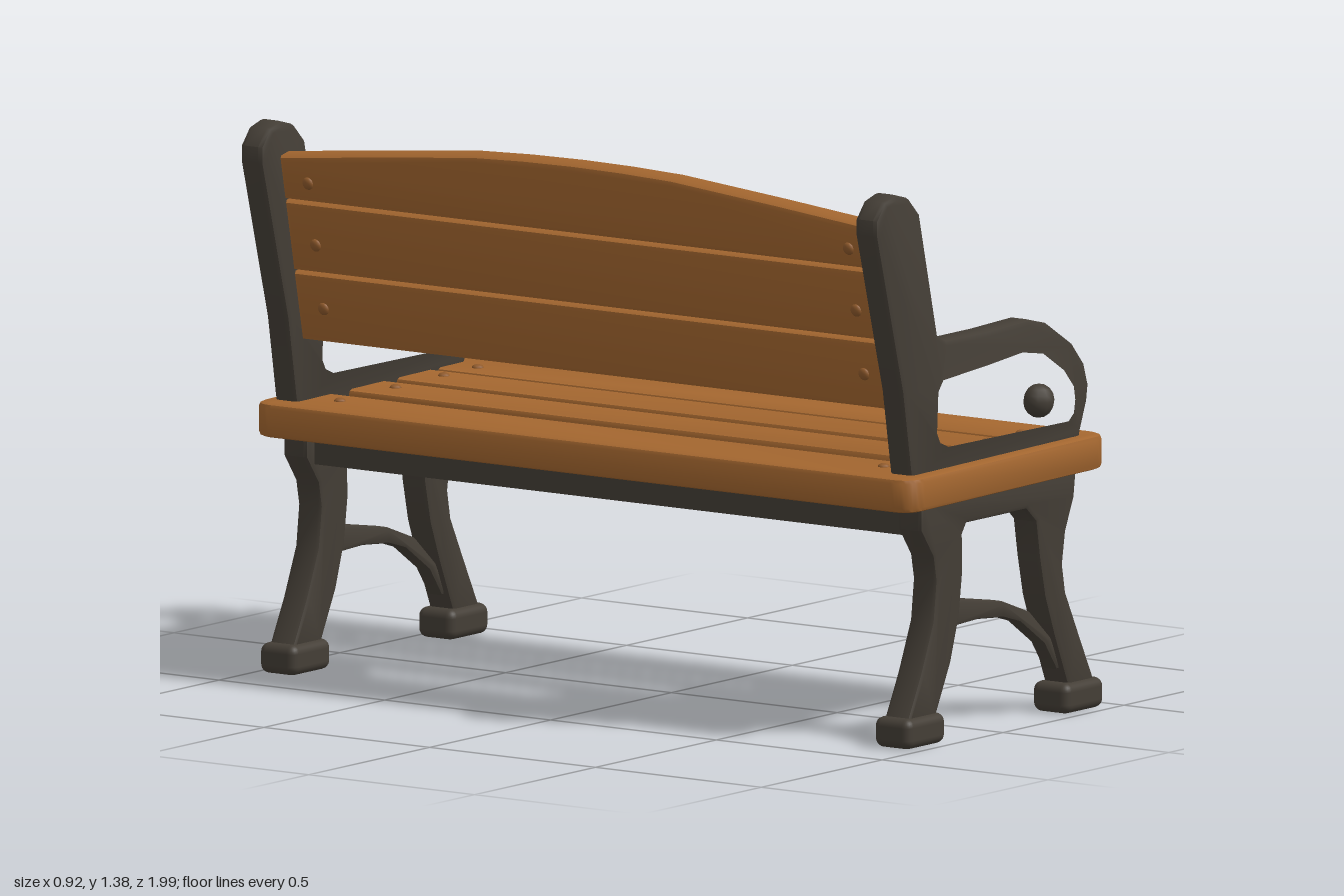
import * as THREE from 'three';
import { toCreasedNormals } from 'three/addons/utils/BufferGeometryUtils.js';
import { RoundedBoxGeometry } from 'three/addons/geometries/RoundedBoxGeometry.js';

const wood = new THREE.MeshStandardMaterial({ color: 0xa3662f });
wood.name = 'wood';
const iron = new THREE.MeshStandardMaterial({ color: 0x443e36 });
iron.name = 'iron';
const boltWood = new THREE.MeshStandardMaterial({ color: 0x8f5a2c });
boltWood.name = 'boltWood';

const toVectors = (points) => points.map(([x, y]) => new THREE.Vector2(x, y));

function mesh(name, geometry, material, x = 0, y = 0, z = 0) {
  const m = new THREE.Mesh(geometry, material);
  m.name = name;
  m.position.set(x, y, z);
  return m;
}

// Bevelled plate centred on its thickness, keeping the given outline as its outer size
function plate(shape, thickness, bevel) {
  const geometry = new THREE.ExtrudeGeometry(shape, {
    depth: thickness - 2 * bevel, bevelEnabled: bevel > 0, bevelSize: bevel,
    bevelThickness: bevel, bevelOffset: -bevel, bevelSegments: 2, curveSegments: 10,
  });
  geometry.translate(0, 0, -(thickness - 2 * bevel) / 2);
  return toCreasedNormals(geometry, 0.7);
}

function rectangle(Type, x0, x1, y0, y1) {
  return new Type(toVectors([[x0, y0], [x1, y0], [x1, y1], [x0, y1]]));
}

function armShape() {
  const shape = new THREE.Shape(toVectors([
    [-0.31, 0.64], [-0.32, 0.69], [-0.352, 0.88], [-0.46, 1.28], [-0.46, 1.32], [-0.425, 1.362],
    [-0.38, 1.375], [-0.325, 1.36], [-0.28, 1.315], [-0.205, 1.005], [-0.17, 0.988],
    [0, 0.988], [0.17, 0.993], [0.25, 0.973], [0.35, 0.912], [0.4, 0.855], [0.418, 0.8],
    [0.412, 0.76], [0.385, 0.69], [0.37, 0.64],
  ]));
  shape.holes.push(new THREE.Path(toVectors([
    [-0.228, 0.76], [-0.222, 0.87], [-0.195, 0.905], [0, 0.918], [0.14, 0.93], [0.23, 0.915],
    [0.32, 0.86], [0.365, 0.81], [0.372, 0.77], [0.365, 0.73], [0.335, 0.706],
    [-0.17, 0.71], [-0.21, 0.727],
  ])));
  return shape;
}

const legShape = () => new THREE.Shape(toVectors([
  [-0.28, 0.61], [-0.28, 0.53], [-0.23, 0.46], [-0.218, 0.4], [-0.23, 0.3], [-0.28, 0.18], [-0.34, 0.06],
  [-0.22, 0.06], [-0.155, 0.19], [-0.12, 0.3], [-0.105, 0.41], [-0.107, 0.5], [-0.09, 0.525],
  [0.155, 0.525], [0.195, 0.49], [0.21, 0.4], [0.232, 0.3], [0.27, 0.2], [0.33, 0.06],
  [0.44, 0.06], [0.37, 0.2], [0.32, 0.3], [0.307, 0.37], [0.32, 0.45], [0.355, 0.53], [0.365, 0.61],
]));

const braceShape = () => new THREE.Shape(toVectors([
  [-0.15, 0.335], [-0.09, 0.337], [0.08, 0.308], [0.19, 0.268], [0.28, 0.19], [0.33, 0.11],
  [0.3, 0.11], [0.25, 0.18], [0.15, 0.247], [0.08, 0.268], [-0.02, 0.277], [-0.15, 0.272],
]));

// Cast end frame: arm and back post, legs, brace, feet and knob
function endFrame(z) {
  const frame = new THREE.Group();
  frame.name = 'endFrame';
  frame.position.z = z;
  frame.add(
    mesh('armAndBackPost', plate(armShape(), 0.07, 0.014), iron),
    mesh('legs', plate(legShape(), 0.075, 0.012), iron),
    mesh('legBrace', plate(braceShape(), 0.045, 0.008), iron),
  );
  for (const x of [-0.278, 0.376]) {
    frame.add(mesh('foot', new RoundedBoxGeometry(0.16, 0.075, 0.11, 3, 0.022), iron, x, 0.0375, 0));
  }
  const knob = mesh('armKnob', new THREE.SphereGeometry(0.042, 10, 8), iron, 0.255, 0.778, 0);
  knob.scale.z = 0.9;
  frame.add(knob);
  return frame;
}

// Rounded seat board with long gaps between the slats
function seat() {
  const group = new THREE.Group();
  group.name = 'seat';
  group.rotation.z = 0.01;
  const [x0, x1, r] = [-0.37, 0.455, 0.06];
  const shape = new THREE.Shape();
  shape.moveTo(x0 + r, -0.995);
  shape.lineTo(x1 - r, -0.995);
  shape.quadraticCurveTo(x1, -0.995, x1, -0.995 + r);
  shape.lineTo(x1, 0.995 - r);
  shape.quadraticCurveTo(x1, 0.995, x1 - r, 0.995);
  shape.lineTo(x0 + r, 0.995);
  shape.quadraticCurveTo(x0, 0.995, x0, 0.995 - r);
  shape.lineTo(x0, -0.995 + r);
  shape.quadraticCurveTo(x0, -0.995, x0 + r, -0.995);
  for (const [a, b] of [[-0.16, -0.097], [0.06, 0.1], [0.252, 0.27]]) {
    shape.holes.push(rectangle(THREE.Path, a, b, -0.9, 0.9));
  }
  const board = mesh('seatSlats', plate(shape, 0.085, 0.012), wood, 0, 0.633, 0);
  board.rotation.x = -Math.PI / 2;
  group.add(board);

  // Slanted end panels below the slats, wood above and iron beneath
  const panels = [
    [[-0.25, 0.15], [0.27, 0.72], [0.27, 0.9], [-0.25, 0.9]],
    [[-0.25, -0.12], [0.27, -0.88], [0.27, -0.9], [-0.25, -0.9]],
  ];
  for (const corners of panels) {
    const outline = new THREE.Shape(toVectors(corners.map(([x, z]) => [x, -z])));
    for (const [name, material, y] of [['panelTop', wood, 0.592], ['panelUnderside', iron, 0.584]]) {
      const panel = mesh(name, plate(outline, 0.008, 0), material, 0, y, 0);
      panel.rotation.x = -Math.PI / 2;
      group.add(panel);
    }
  }

  for (const x of [-0.24, -0.01, 0.19, 0.33]) {
    for (const z of [-0.82, 0.82]) {
      const bolt = mesh('seatBolt', new THREE.SphereGeometry(0.015, 10, 8), boltWood, x, 0.675, z);
      bolt.scale.y = 0.6;
      group.add(bolt);
    }
  }
  return group;
}

// Leaning backrest of three slats, the top one arched
function backrest() {
  const group = new THREE.Group();
  group.name = 'backrest';
  group.position.set(-0.28, 0.83, 0);
  group.rotation.z = 0.2;
  const top = new THREE.Shape(toVectors([
    [-0.892, 0.364], [0.892, 0.364], [0.892, 0.475], [0.6, 0.507], [0.3, 0.537], [0.15, 0.543],
    [0, 0.545], [-0.15, 0.543], [-0.3, 0.537], [-0.6, 0.507], [-0.892, 0.475],
  ]));
  const slats = [
    rectangle(THREE.Shape, -0.892, 0.892, 0, 0.176),
    rectangle(THREE.Shape, -0.892, 0.892, 0.18, 0.36),
    top,
  ];
  for (const shape of slats) {
    const slat = mesh('backSlat', plate(shape, 0.06, 0.014), wood);
    slat.rotation.y = Math.PI / 2;
    group.add(slat);
  }
  for (const y of [0.09, 0.255, 0.415]) {
    for (const z of [-0.81, 0.82]) {
      for (const x of [-0.03, 0.03]) {
        const bolt = mesh('backBolt', new THREE.SphereGeometry(0.016, 10, 8), boltWood, x, y, z);
        bolt.scale.x = 0.6;
        group.add(bolt);
      }
    }
  }
  return group;
}

export function createModel() {
  const bench = new THREE.Group();
  bench.name = 'bench';
  bench.add(endFrame(0.922), endFrame(-0.932), seat(), backrest());
  // Long rails joining the end frames under the seat
  for (const x of [-0.215, 0.31]) {
    bench.add(mesh('seatRail', new THREE.BoxGeometry(0.07, 0.09, 1.8), iron, x, 0.555, 0));
  }
  return bench;
}
